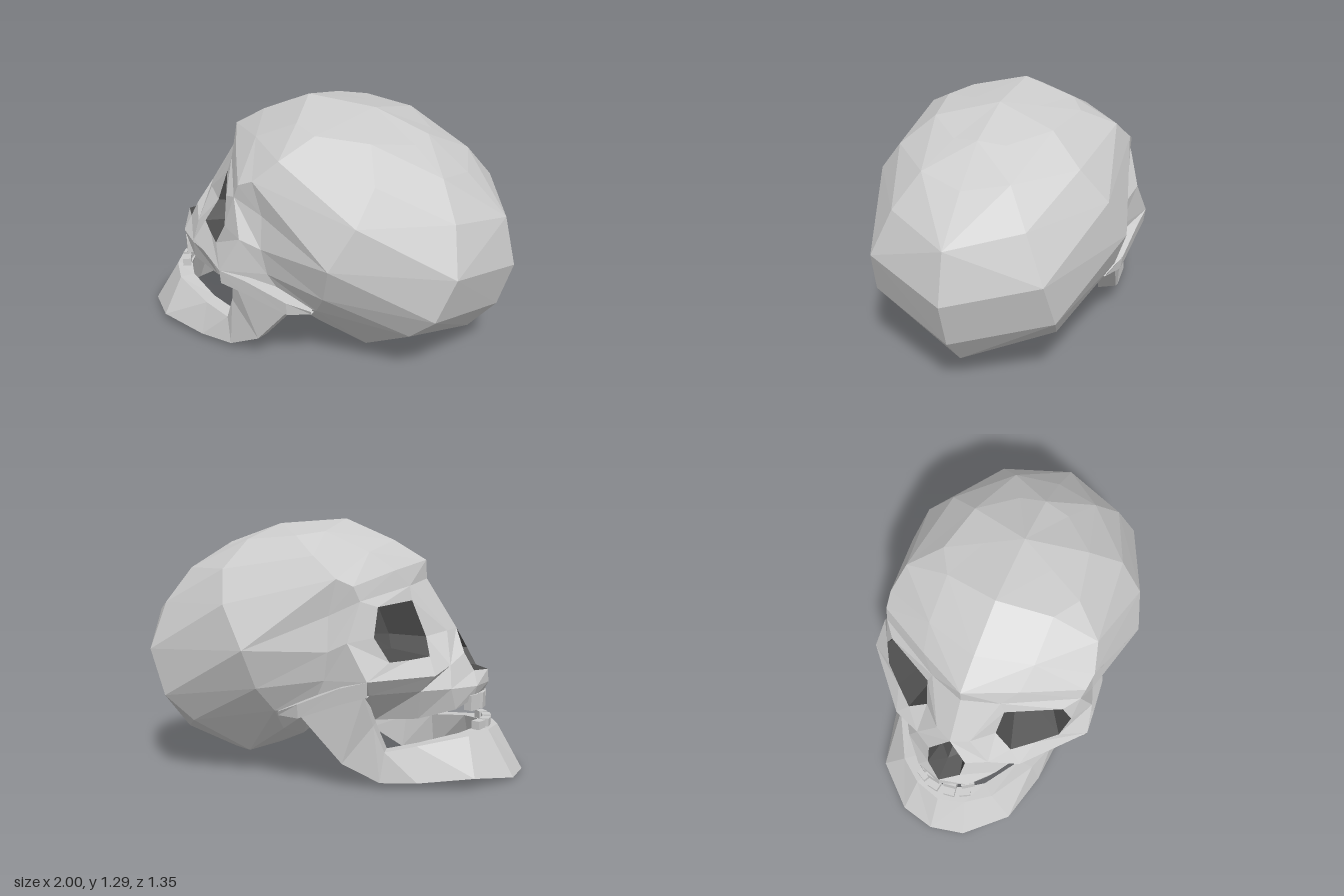
import * as THREE from 'three';

const bone = new THREE.MeshStandardMaterial({ color: 0xcccccc, flatShading: true, side: THREE.DoubleSide });
bone.name = 'bone';
const hollow = new THREE.MeshStandardMaterial({ color: 0x4c4c4c, flatShading: true, side: THREE.DoubleSide });
hollow.name = 'hollow';

const skullCentre = new THREE.Vector3(0.3, 0.65, 0);

// Joins neighbouring rows of points with facets and mirrors them across z = 0.
// With bulge set, each facet is split along the diagonal that bows outward.
function loft(name, rows, material = bone, bulge = false) {
  const pos = [];
  const same = (p, q) => p.every((v, k) => Math.abs(v - q[k]) < 1e-6);
  const reach = (p, q) => new THREE.Vector3(...p).add(new THREE.Vector3(...q)).multiplyScalar(0.5).distanceTo(skullCentre);
  const tri = (a, b, c) => {
    if (same(a, b) || same(b, c) || same(a, c)) return;
    pos.push(...a, ...b, ...c);
    for (const p of [a, c, b]) pos.push(p[0], p[1], -p[2]);
  };
  for (let i = 0; i + 1 < rows.length; i++) {
    for (let j = 0; j + 1 < rows[i].length; j++) {
      const a = rows[i][j], b = rows[i + 1][j], c = rows[i + 1][j + 1], d = rows[i][j + 1];
      if (bulge && !same(a, b) && !same(c, d) && reach(b, d) > reach(a, c)) {
        tri(a, b, d);
        tri(b, c, d);
      } else {
        tri(a, b, c);
        tri(a, c, d);
      }
    }
  }
  const geo = new THREE.BufferGeometry();
  geo.setAttribute('position', new THREE.Float32BufferAttribute(pos, 3));
  geo.computeVertexNormals();
  const mesh = new THREE.Mesh(geo, material);
  mesh.name = name;
  return mesh;
}

const closed = ring => [...ring, ring[0]];

// Shrinks a ring towards its centre and shifts it inward.
function recess(ring, scale, dx, dz) {
  const c = [0, 1, 2].map(k => ring.reduce((s, p) => s + p[k], 0) / ring.length);
  return ring.map(p => [c[0] + (p[0] - c[0]) * scale + dx, c[1] + (p[1] - c[1]) * scale, c[2] + (p[2] - c[2]) * scale + dz]);
}

export function createModel() {
  const model = new THREE.Group();
  const skull = new THREE.Group();
  skull.name = 'skull';
  model.add(skull);

  // Braincase: meridians from the crown down to the base, back to temple
  const pole = [0.27, 1.275, 0];
  const back = [pole, [0.545, 1.176, 0], [0.75, 1.01, 0], [0.955, 0.807, 0], [1.015, 0.556, 0], [0.945, 0.32, 0],
    [0.805, 0.155, 0], [0.535, 0.053, 0], [0.27, 0.12, 0], [0.27, 0.12, 0]];
  const rear = [pole, [0.52, 1.16, 0.13], [0.69, 1.05, 0.22], [0.79, 0.88, 0.33], [0.84, 0.65, 0.43], [0.755, 0.42, 0.46],
    [0.62, 0.29, 0.42], [0.36, 0.12, 0.31], [0.25, 0.12, 0.1], [0.25, 0.13, 0]];
  const side = [pole, [0.36, 1.2, 0.3], [0.44, 1.06, 0.46], [0.4, 0.9, 0.59], [0.29, 0.69, 0.655], [0.24, 0.5, 0.59],
    [0.17, 0.38, 0.51], [0.15, 0.27, 0.42], [0.1, 0.2, 0.2], [0.1, 0.22, 0]];
  const temple = [pole, [0.1, 1.22, 0.35], [-0.02, 1.13, 0.5], [-0.14, 1.025, 0.54], [-0.1, 0.85, 0.53], [-0.1, 0.68, 0.55],
    [-0.08, 0.54, 0.53], [0, 0.38, 0.48], [0.02, 0.27, 0.2], [0.03, 0.27, 0]];
  skull.add(loft('braincase', [back, rear, side, temple], bone, true));

  // Forehead, rising from the V-shaped brow to the crown
  const brow = [[-0.5, 1.09, 0], [-0.375, 1.05, 0.25], [-0.22, 0.99, 0.53]];
  skull.add(loft('forehead', [
    brow,
    [[-0.335, 1.19, 0], [-0.25, 1.14, 0.27], temple[3]],
    [[-0.083, 1.3, 0], [-0.03, 1.24, 0.27], temple[2]],
    [pole, [0.185, 1.2475, 0.175], temple[1]],
  ], bone, true));

  // Eye sockets: outer frame, opening and dark recess
  const frame = [[-0.44, 0.97, 0.18], [-0.25, 0.92, 0.52], [-0.2, 0.73, 0.58], [-0.3, 0.555, 0.61],
    [-0.59, 0.55, 0.35], [-0.65, 0.58, 0.2], [-0.62, 0.74, 0.09]];
  const opening = [[-0.455, 0.9, 0.205], [-0.325, 0.89, 0.46], [-0.315, 0.75, 0.51], [-0.385, 0.63, 0.48],
    [-0.47, 0.63, 0.385], [-0.555, 0.635, 0.285], [-0.525, 0.72, 0.19]];
  skull.add(loft('eyeSocketFrames', [closed(frame), closed(opening)]));
  skull.add(loft('eyeSocketHollows', [
    closed(opening),
    closed(recess(opening, 0.75, 0.17, -0.08)),
    closed(recess(opening, 0, 0.19, -0.09)),
  ], hollow));

  // Brow underside and the bone behind the outer eye rim
  const root = [-0.505, 0.995, 0];
  skull.add(loft('browRidge', [brow, [root, frame[0], frame[1]]]));
  skull.add(loft('temples', [[brow[2], frame[1], frame[2], frame[3]], temple.slice(3, 7)]));

  // Nose: bridge, flanks and dark opening
  const nose = [[-0.66, 0.745, 0], [-0.71, 0.63, 0.1], [-0.76, 0.54, 0.09], [-0.825, 0.535, 0]];
  skull.add(loft('noseBridge', [[root, ...nose.slice(0, 3)], [frame[0], frame[6], frame[5], frame[5]]]));
  const noseBack = nose.map(([x, y, z]) => [x + 0.12, y * 0.8 + 0.12, z * 0.7]);
  skull.add(loft('noseHollow', [nose, noseBack, noseBack.map(() => [-0.6, 0.61, 0])], hollow));

  // Upper jaw: cheek edge, cheek underside, tooth line, palate
  skull.add(loft('upperJaw', [
    [nose[3], nose[2], frame[5], frame[4], frame[3], temple[6]],
    [[-0.83, 0.47, 0], [-0.78, 0.47, 0.14], [-0.66, 0.47, 0.25], [-0.52, 0.47, 0.34], [-0.3, 0.48, 0.54], temple[7]],
    [[-0.8, 0.41, 0], [-0.76, 0.4, 0.13], [-0.68, 0.36, 0.21], [-0.5, 0.32, 0.28], [-0.29, 0.31, 0.3], temple[8]],
    [[-0.72, 0.41, 0], [-0.69, 0.41, 0.08], [-0.6, 0.41, 0.12], [-0.45, 0.4, 0.14], [-0.27, 0.37, 0.15], temple[9]],
    [[-0.72, 0.41, 0], [-0.69, 0.42, 0], [-0.6, 0.43, 0], [-0.45, 0.42, 0], [-0.27, 0.38, 0], temple[9]],
  ]));

  // Cheek arches running back towards the ears
  const arch = (x, top, bottom, z) => closed([[x, top, z], [x, bottom, z - 0.01], [x, bottom, z - 0.1], [x, top, z - 0.1]]);
  skull.add(loft('cheekArches', [
    arch(-0.3, 0.555, 0.48, 0.61),
    arch(-0.17, 0.52, 0.44, 0.6),
    arch(0.04, 0.43, 0.36, 0.58),
    arch(0.15, 0.38, 0.36, 0.53),
  ]));

  // Lower jaw: sections of outer base, outer top, inner top, inner base
  const branch = (base, top) => [base, top, [top[0], top[1], top[2] - 0.08], [base[0], base[1] - 0.03, base[2] - 0.1]];
  const jaw = [
    [[-1.01, 0.02, 0], [-0.88, 0.25, 0], [-0.8, 0.25, 0], [-0.9, 0.01, 0]],
    [[-0.97, 0.02, 0.18], [-0.84, 0.25, 0.14], [-0.77, 0.25, 0.1], [-0.87, 0.01, 0.14]],
    [[-0.79, 0.06, 0.38], [-0.75, 0.24, 0.26], [-0.7, 0.24, 0.2], [-0.72, 0.06, 0.3]],
    branch([-0.52, 0.04, 0.45], [-0.51, 0.21, 0.4]),
    branch([-0.34, 0.035, 0.465], [-0.36, 0.185, 0.45]),
    branch([-0.16, 0.13, 0.5], [-0.31, 0.32, 0.48]),
    branch([0.04, 0.37, 0.54], [-0.27, 0.47, 0.53]),
  ].map(closed);
  skull.add(loft('lowerJaw', jaw));
  const end = jaw[6];
  skull.add(loft('lowerJawEnds', [[end[0], end[1]], [end[3], end[2]]]));

  // Front teeth
  const addTeeth = (name, places, y, size) => {
    for (const [x, z, turn] of places) {
      for (const s of [1, -1]) {
        const tooth = new THREE.Mesh(new THREE.BoxGeometry(...size), bone);
        tooth.name = name;
        tooth.position.set(x, y, z * s);
        tooth.rotation.y = turn * s;
        skull.add(tooth);
      }
    }
  };
  addTeeth('upperTooth', [[-0.79, 0.045, 0.15], [-0.755, 0.125, 0.6]], 0.385, [0.045, 0.08, 0.07]);
  addTeeth('lowerTooth', [[-0.82, 0.045, 0.15], [-0.79, 0.12, 0.5]], 0.26, [0.045, 0.06, 0.06]);

  // The head is turned slightly to one side
  skull.rotation.y = 0.172;
  skull.position.z = 0.02;
  return model;
}
